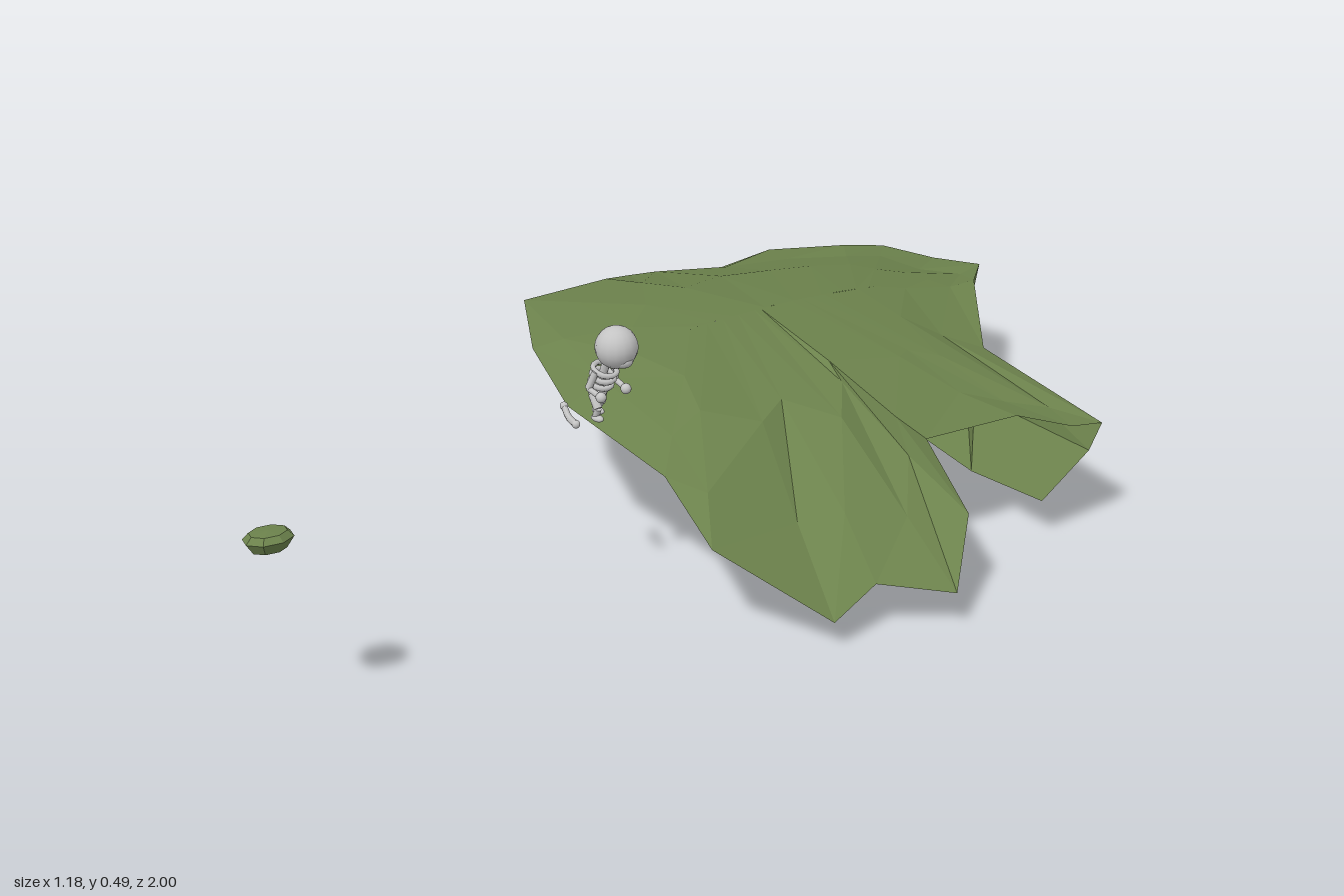
import * as THREE from 'three';

const moss = new THREE.MeshStandardMaterial({ color: 0x6c824c, flatShading: true, side: THREE.DoubleSide });
moss.name = 'moss green';
const bone = new THREE.MeshStandardMaterial({ color: 0xc4c4c4 });
bone.name = 'pale grey';

const V = (x, y, z) => new THREE.Vector3(x, y, z);

function add(parent, name, geometry, material) {
  const mesh = new THREE.Mesh(geometry, material);
  mesh.name = name;
  parent.add(mesh);
  return mesh;
}

// Faceted skin through rows of points
function loft(rows, closed) {
  const pos = [];
  const n = rows[0].length;
  for (let r = 0; r < rows.length - 1; r++) {
    for (let i = 0; i < (closed ? n : n - 1); i++) {
      const j = (i + 1) % n;
      const [a, b, c, d] = [rows[r][i], rows[r + 1][i], rows[r + 1][j], rows[r][j]];
      for (const p of [a, b, d, b, c, d]) pos.push(...p);
    }
  }
  const g = new THREE.BufferGeometry();
  g.setAttribute('position', new THREE.Float32BufferAttribute(pos, 3));
  g.computeVertexNormals();
  return g;
}

// Back part of the rim, shared by the roof and the rear wall (right wing tip to left side)
const backRim = [
  [0.51, 0.2, -0.52], [0.16, 0.22, -0.62], [-0.06, 0.24, -0.86], [-0.15, 0.22, -0.99], [-0.28, 0.2, -1],
  [-0.37, 0.22, -0.94], [-0.4, 0.235, -0.85], [-0.52, 0.22, -0.75], [-0.55, 0.2, -0.6],
];
// Rest of the rim, from the wing tip around the front to the left side
const frontRim = [
  [0.49, 0.205, -0.46], [0.42, 0.225, -0.39], [0.39, 0.235, -0.18], [0.52, 0.15, -0.14], [0.59, 0.065, -0.03],
  [0.5, 0.085, 0.07], [0.5, 0.05, 0.17], [0.33, 0.16, 0.28], [0.18, 0.23, 0.24], [-0.08, 0.275, 0.22],
  [-0.27, 0.305, 0.13], [-0.44, 0.32, 0], [-0.44, 0.31, -0.21], [-0.59, 0.23, -0.41],
];

// Height of the domed top
const domeHeight = (x, z) =>
  0.333 - 0.2 * Math.pow(Math.max(0, x + 0.2), 1.5) - 0.15 * Math.pow(Math.min(0, z + 0.05), 2)
  - 0.3 * Math.pow(Math.min(0, x + 0.25), 2);

// Roof: rings shrinking from the rim to a central ridge
function roofGeometry() {
  const rim = [...[...backRim].reverse().slice(4).reverse(), ...[]];
  const loop = [...backRim].reverse();               // left side to wing tip, around the back
  const outline = [...loop, ...frontRim];
  const ring = (t, k) => outline.map(([x, y, z], i) => {
    const cz = -0.35 + 0.4 * (z + 0.35);
    const wobble = (t > 0 && t < 1) ? 0.05 * Math.sin(i * 2.3 + k * 1.7) : 0;
    const s = t + wobble;
    const px = -0.1 + (x + 0.1) * s;
    const pz = cz + (z - cz) * s;
    const blend = 1 - Math.pow(t, 2.6);
    return [px, y + (domeHeight(px, pz) - y) * blend, pz];
  });
  return loft([1, 0.78, 0.45, 0].map(ring), true);
}

// Rear wall curling down and forward beneath the roof
function wallGeometry() {
  const middle = [
    [0.5, 0.15, -0.5], [0.16, 0.13, -0.6], [-0.05, 0.13, -0.82], [-0.15, 0.1, -0.9], [-0.28, 0.07, -0.87],
    [-0.36, 0.06, -0.84], [-0.42, 0.08, -0.8], [-0.54, 0.11, -0.7], [-0.585, 0.14, -0.63],
  ];
  const bottom = [
    [0.47, 0.07, -0.41], [0.27, 0.05, -0.46], [0, 0.07, -0.53], [-0.13, 0.045, -0.62], [-0.27, 0.012, -0.64],
    [-0.34, 0.007, -0.65], [-0.4, 0, -0.64], [-0.54, 0.085, -0.63], [-0.58, 0.13, -0.61],
  ];
  return loft([backRim, middle, bottom], false);
}

// Rod between two points
function limb(parent, name, a, b, r1, r2 = r1) {
  const dir = b.clone().sub(a);
  const m = add(parent, name, new THREE.CylinderGeometry(r2, r1, dir.length(), 8), bone);
  m.position.copy(a).addScaledVector(dir, 0.5);
  m.quaternion.setFromUnitVectors(V(0, 1, 0), dir.normalize());
  return m;
}

function ball(parent, name, p, r, sx = 1, sy = 1, sz = 1) {
  const m = add(parent, name, new THREE.SphereGeometry(r, 16, 12), bone);
  m.position.copy(p);
  m.scale.set(sx, sy, sz);
  return m;
}

// Small bony figure leaning toward +x
function makeFigure() {
  const f = new THREE.Group();
  f.name = 'figure';
  const z0 = 0.29;
  ball(f, 'head', V(0.116, 0.455, z0 - 0.004), 0.036);
  ball(f, 'jaw', V(0.13, 0.436, z0 - 0.004), 0.019, 1, 0.7, 0.9);
  limb(f, 'spine', V(0.073, 0.365, z0), V(0.098, 0.43, z0), 0.007);
  ball(f, 'pelvis', V(0.074, 0.368, z0), 0.016, 1, 0.7, 1.1);
  for (let i = 0; i < 3; i++) {
    const rib = add(f, 'rib', new THREE.TorusGeometry(0.018 + 0.001 * i, 0.005, 6, 14), bone);
    rib.position.set(0.082 + 0.005 * i, 0.385 + 0.013 * i, z0);
    rib.rotation.set(Math.PI / 2, -0.35, 0);
  }
  for (const s of [-1, 1]) {
    const shoulder = V(0.093, 0.412, z0 + s * 0.022);
    const elbow = V(0.084, 0.383, z0 + s * 0.03);
    const hand = V(0.112, 0.374, z0 + s * 0.028);
    limb(f, 'upperArm', shoulder, elbow, 0.006);
    limb(f, 'forearm', elbow, hand, 0.005);
    ball(f, 'hand', hand, 0.009);
    const hip = V(0.073, 0.365, z0 + s * 0.011);
    const knee = V(0.078 + s * 0.01, 0.343, z0 + s * 0.013);
    const foot = V(0.068 + s * 0.012, 0.325, z0 + s * 0.012);
    limb(f, 'thigh', hip, knee, 0.008);
    limb(f, 'shin', knee, foot, 0.006);
    ball(f, 'foot', foot.clone().add(V(0.005, 0, 0)), 0.01, 1.3, 0.6, 0.8);
  }
  // Loose curved bone beside the figure
  const curve = new THREE.CatmullRomCurve3([V(0.048, 0.348, 0.342), V(0.068, 0.336, 0.35), V(0.093, 0.333, 0.357)]);
  add(f, 'looseBone', new THREE.TubeGeometry(curve, 8, 0.006, 6), bone);
  for (const t of [0, 1]) ball(f, 'looseBoneEnd', curve.getPoint(t), 0.007);
  return f;
}

export function createModel() {
  const model = new THREE.Group();
  model.name = 'rockShelter';
  add(model, 'roof', roofGeometry(), moss);
  add(model, 'rearWall', wallGeometry(), moss);
  model.add(makeFigure());

  // Floating stepping stone, narrower underneath
  const stone = add(model, 'stone', loft([
    [0.01, 0.018], [0.75, 0.016], [1, 0.006], [0.7, -0.012], [0.01, -0.018],
  ].map(([r, y]) => Array.from({ length: 8 }, (_, i) => {
    const a = -i * Math.PI / 4;
    return [0.038 * r * Math.cos(a), y + 0.004 * Math.cos(a) * r, -0.04 * r * Math.sin(a)];
  })).reverse(), true), moss);
  stone.position.set(0.07, 0.315, 0.955);
  return model;
}
